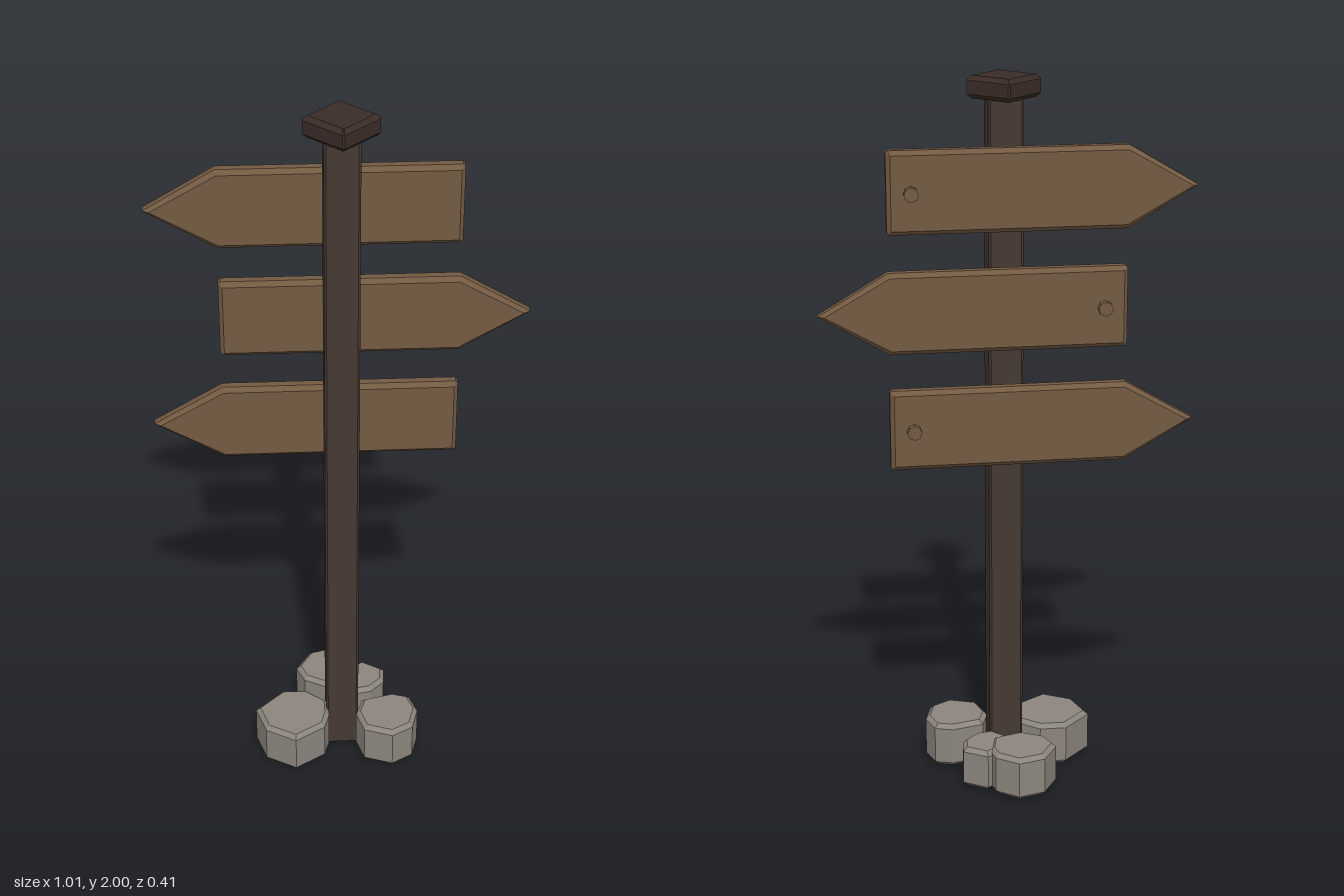
import * as THREE from 'three';

const materials = {
  board: new THREE.MeshStandardMaterial({ name: 'boardWood', color: 0x735a42 }),
  post: new THREE.MeshStandardMaterial({ name: 'postWood', color: 0x463832 }),
  cap: new THREE.MeshStandardMaterial({ name: 'capWood', color: 0x3a2c27 }),
  rock: new THREE.MeshStandardMaterial({ name: 'stone', color: 0x8b857c }),
};
for (const m of Object.values(materials)) m.flatShading = true;

// Flat outline extruded along +z from 0 to depth, with chamfered rims
function slab(points, depth, bevel) {
  const shape = new THREE.Shape(points.map(([x, y]) => new THREE.Vector2(x, y)));
  const geometry = new THREE.ExtrudeGeometry(shape, {
    depth: depth - 2 * bevel, bevelEnabled: true, bevelSegments: 1,
    bevelSize: bevel, bevelThickness: bevel, bevelOffset: -bevel,
  });
  return geometry.translate(0, 0, bevel);
}

// Outline given in (x, z), raised from y0 to y1
function prism(points, y0, y1, bevel) {
  return slab(points.map(([x, z]) => [x, -z]), y1 - y0, bevel)
    .rotateX(-Math.PI / 2).translate(0, y0, 0);
}

function add(group, name, geometry, material) {
  const mesh = new THREE.Mesh(geometry, material);
  mesh.name = name;
  group.add(mesh);
  return mesh;
}

// Square with its corners cut by c
function cutSquare(h, c) {
  return [[h, h - c], [h - c, h], [c - h, h], [-h, h - c], [-h, c - h], [c - h, -h], [h - c, -h], [h, c - h]];
}

export function createModel() {
  const group = new THREE.Group();
  group.name = 'signpost';
  const postZ = 0.03;

  // Post, with a cap turned by an eighth
  add(group, 'post', prism(cutSquare(0.047, 0.006), 0, 1.95, 0.005), materials.post).position.z = postZ;
  const cap = add(group, 'cap', prism(cutSquare(0.071, 0.004), 1.94, 2, 0.012), materials.cap);
  cap.rotation.y = Math.PI / 4;
  cap.position.z = postZ;

  // Arrow boards on the back of the post, each with one peg near its square end
  [[1.715, -1], [1.393, 1], [1.07, -1]].forEach(([y, dir], i) => {
    const sign = new THREE.Group();
    sign.name = `sign${i + 1}`;
    sign.position.set(0, y, -0.074);
    const outline = [[-0.32, -0.105], [-0.314, -0.111], [0.318, -0.111], [0.506, 0], [0.318, 0.111], [-0.314, 0.111], [-0.32, 0.105]]
      .map(([x, v]) => [x * dir, v]);
    add(sign, 'board', slab(outline, 0.046, 0.012), materials.board);
    const peg = add(sign, 'peg', new THREE.CylinderGeometry(0.02, 0.02, 0.024, 8).rotateX(Math.PI / 2), materials.board);
    peg.position.set(-0.257 * dir, 0, -0.007);
    group.add(sign);
  });

  // Stones around the foot: outline in (x, z), bottom and top height
  const rocks = [
    [[[-0.175, -0.012], [-0.1, -0.01], [-0.04, 0.04], [-0.04, 0.1], [-0.055, 0.15], [-0.14, 0.205], [-0.225, 0.155], [-0.253, 0.065]], 0.01, 0.138],
    [[[0.15, 0.017], [0.2, 0.033], [0.22, 0.095], [0.2, 0.165], [0.14, 0.2], [0.06, 0.17], [0.04, 0.1], [0.06, 0.04]], 0.01, 0.14],
    [[[-0.085, -0.19], [-0.01, -0.21], [0.05, -0.165], [0.06, -0.12], [0.045, -0.055], [-0.04, -0.03], [-0.105, -0.065], [-0.128, -0.12]], 0.01, 0.137],
    [[[0.07, -0.147], [0.135, -0.105], [0.13, -0.05], [0.09, -0.01], [0.04, 0], [0, -0.04], [0.02, -0.11]], 0.012, 0.132],
  ];
  rocks.forEach(([outline, y0, y1], i) => add(group, `stone${i + 1}`, prism(outline, y0, y1, 0.012), materials.rock));

  return group;
}
